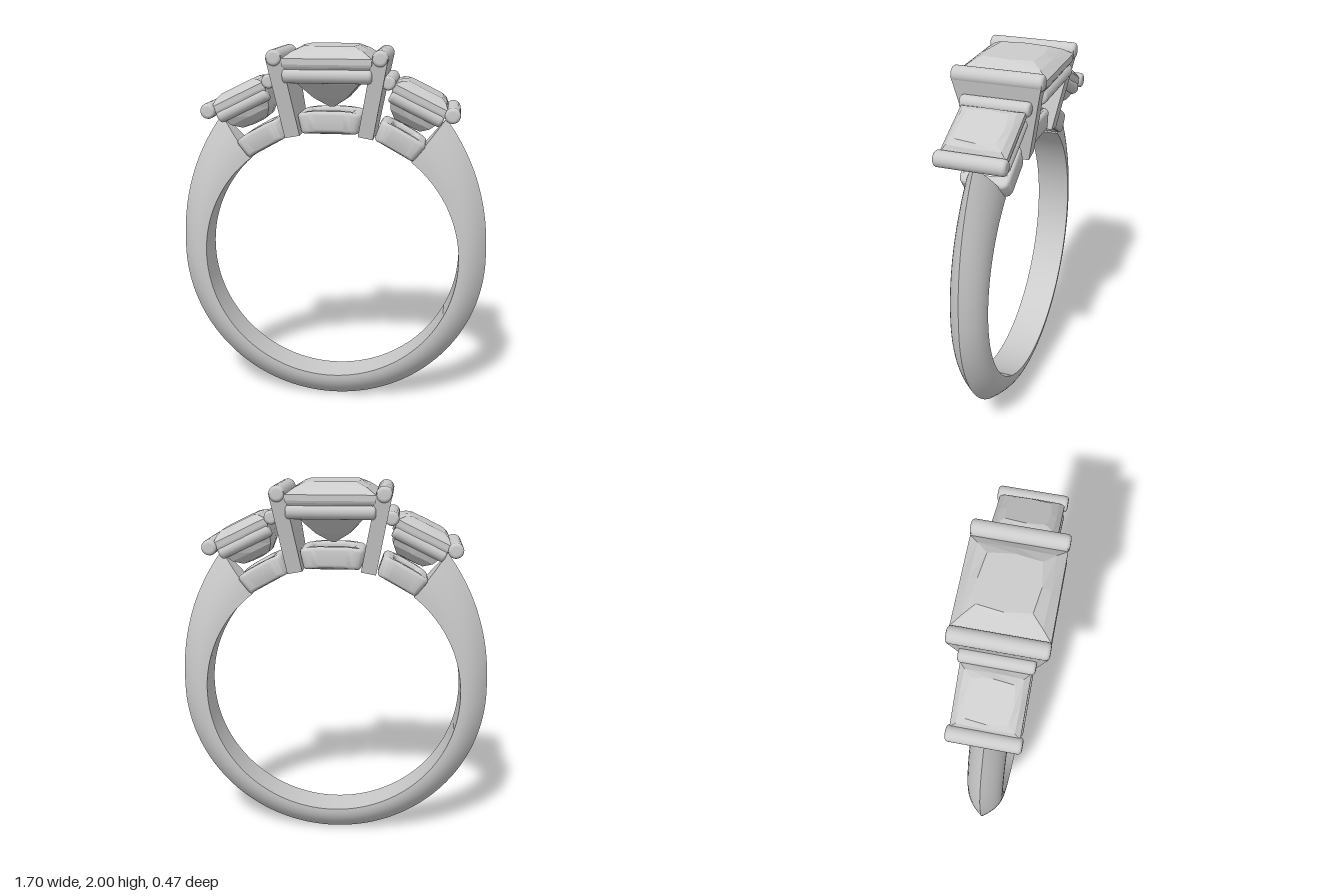
import * as THREE from 'three';
import { toCreasedNormals } from 'three/addons/utils/BufferGeometryUtils.js';

const CENTRE_Y = 0.85, INNER_R = 0.7;
const metal = new THREE.MeshStandardMaterial({ color: 0xcccccc });
const faceted = new THREE.MeshStandardMaterial({ color: 0xcccccc, flatShading: true });
const rad = THREE.MathUtils.degToRad;

function part(name, geometry, material = metal) {
  const mesh = new THREE.Mesh(geometry, material);
  mesh.name = name;
  return mesh;
}

// Skin over a row of closed cross-sections, capped at both ends
function loft(rings) {
  const pos = [];
  const tri = (...pts) => pts.forEach(p => pos.push(p.x, p.y, p.z));
  const n = rings[0].length;
  for (let i = 0; i < rings.length - 1; i++) {
    for (let j = 0; j < n; j++) {
      const k = (j + 1) % n, a = rings[i], b = rings[i + 1];
      tri(a[j], b[j], b[k]);
      tri(a[j], b[k], a[k]);
    }
  }
  const middle = ring => ring.reduce((s, p) => s.add(p), new THREE.Vector3()).divideScalar(n);
  const first = rings[0], last = rings[rings.length - 1];
  const c0 = middle(first), c1 = middle(last);
  for (let j = 0; j < n; j++) {
    const k = (j + 1) % n;
    tri(c0, first[j], first[k]);
    tri(c1, last[k], last[j]);
  }
  const g = new THREE.BufferGeometry();
  g.setAttribute('position', new THREE.Float32BufferAttribute(pos, 3));
  g.computeVertexNormals();
  return g;
}

// Shank: flat inside, pointed-arch outside, growing towards the shoulders
function shankGeometry() {
  const end = 51.8, steps = 120, arch = 9, rings = [];
  for (let i = 0; i <= steps; i++) {
    const deg = 180 - end + (180 + 2 * end) * i / steps;
    const a = rad(deg);
    const rise = Math.max(0, 90 - Math.abs(deg - 270) < 0 ? Math.abs(deg - 270) - 90 : 0);
    const outer = 0.848 + 0.134 * Math.pow(rise / end, 1.7);
    const ring = [];
    for (let j = -arch; j <= arch; j++) {
      const t = 1 - Math.abs(j) / arch;
      const r = INNER_R + (outer - INNER_R) * t;
      const z = Math.sign(j) * 0.095 * (1 - Math.pow(t, 2.2));
      ring.push(new THREE.Vector3(r * Math.cos(a), CENTRE_Y + r * Math.sin(a), z));
    }
    rings.push(ring);
  }
  return toCreasedNormals(loft(rings), 0.6);
}

// Square-cut stone from levels of [size, height, bow of the edges]
function gemGeometry(hx, hz, levels) {
  return loft(levels.map(([size, y, bow]) => {
    const ring = [];
    for (let k = 0; k < 8; k++) {
      const c = Math.cos(k * Math.PI / 4), s = Math.sin(k * Math.PI / 4);
      const m = size * (k % 2 ? 1 : bow) / Math.max(Math.abs(c), Math.abs(s));
      ring.push(new THREE.Vector3(hx * c * m, y, hz * s * m));
    }
    return ring;
  }));
}

// Round bar with softened ends, along x or z
function rodGeometry(r, half, axis) {
  const f = r * 0.45, pts = [new THREE.Vector2(0, -half)];
  for (const end of [-1, 1]) {
    for (let i = 0; i <= 4; i++) {
      const a = (end < 0 ? i : 4 - i) / 4 * Math.PI / 2;
      pts.push(new THREE.Vector2(r - f + f * Math.sin(a), end * (half - f + f * Math.cos(a))));
    }
  }
  pts.push(new THREE.Vector2(0, half));
  const g = new THREE.LatheGeometry(pts, 24);
  return axis === 'x' ? g.rotateZ(-Math.PI / 2) : g.rotateX(Math.PI / 2);
}

// Rounded square outline with points spread along the edges
function outline(hx, hy) {
  const pts = [], soft = v => Math.sign(v) * Math.pow(Math.abs(v), 0.3);
  for (let i = 0; i < 56; i++) {
    const a = (i + 0.5) / 56 * Math.PI * 2;
    pts.push(new THREE.Vector2(hx * soft(Math.cos(a)), hy * soft(Math.sin(a))));
  }
  return pts;
}

// Open gallery frame bent around the finger hole
function galleryGeometry(midDeg, halfDeg, halfZ) {
  const r0 = INNER_R + 0.005, depth = 0.113, bevel = 0.02, midR = 0.76;
  const hx = rad(halfDeg) * midR;
  const shape = new THREE.Shape(outline(hx, halfZ));
  shape.holes.push(new THREE.Path(outline(hx - 0.06, halfZ - 0.06)));
  const g = new THREE.ExtrudeGeometry(shape, {
    depth: depth - 2 * bevel, bevelSize: bevel, bevelThickness: bevel, bevelOffset: -bevel, bevelSegments: 4,
  });
  const p = g.attributes.position;
  for (let i = 0; i < p.count; i++) {
    const a = rad(midDeg) + p.getX(i) / midR, r = r0 + bevel + p.getZ(i);
    p.setXYZ(i, r * Math.cos(a), CENTRE_Y + r * Math.sin(a), p.getY(i));
  }
  return toCreasedNormals(g, 0.7);
}

// Leaning side wall of the centre setting, wider at the top, with a round lip
function sideWall() {
  const length = 0.427, wall = new THREE.Group();
  wall.name = 'centreSideWall';
  const g = new THREE.BoxGeometry(0.08, length, 2).translate(0, length / 2, 0);
  const p = g.attributes.position;
  for (let i = 0; i < p.count; i++) {
    p.setZ(i, p.getZ(i) * (0.145 + 0.085 * p.getY(i) / length));
  }
  g.computeVertexNormals();
  const lip = part('centreWallLip', rodGeometry(0.042, 0.235, 'z'));
  lip.position.y = length - 0.005;
  wall.add(part('centreWallPlate', g), lip);
  wall.position.set(0.193, 1.53, 0);
  wall.rotation.z = -0.186;
  return wall;
}

// Tilted setting with its smaller stone
function sideSetting() {
  const s = new THREE.Group();
  s.name = 'sideSetting';
  s.add(part('sideStone', gemGeometry(0.152, 0.165, [
    [0.2, -0.17, 1.1], [0.5, -0.16, 1.1], [0.75, -0.12, 1.08], [0.92, -0.06, 1.02],
    [1, -0.018, 1], [1, 0.01, 1], [0.83, 0.036, 1.03], [0.62, 0.05, 1.12],
  ]), faceted));
  for (const [x, r] of [[-0.183, 0.037], [0.183, 0.041]]) {
    const bar = part('sideEndBar', rodGeometry(r, 0.18, 'z'));
    bar.position.x = x;
    s.add(bar);
  }
  for (const z of [-1, 1]) {
    const rail = part('sideRail', rodGeometry(0.036, 0.15, 'x'));
    rail.position.set(0.003, -0.053, z * 0.135);
    s.add(rail);
  }
  s.position.set(0.475, 1.74, 0);
  s.rotation.z = rad(-26);
  return s;
}

export function createModel() {
  const ring = new THREE.Group();
  ring.name = 'ring';
  ring.add(part('shank', shankGeometry()));

  // Centre stone, its rails and gallery
  ring.add(part('centreStone', gemGeometry(0.23, 0.23, [
    [0.05, 1.675, 1.1], [0.38, 1.73, 1.1], [0.7, 1.81, 1.05], [0.98, 1.9, 1],
    [1, 1.912, 1], [1, 1.942, 1], [0.8, 1.975, 1.03], [0.56, 2, 1.13],
  ]), faceted));
  for (const z of [-1, 1]) {
    const rail = part('centreRail', rodGeometry(0.04, 0.23, 'x'));
    rail.position.set(0, 1.855, z * 0.192);
    ring.add(rail);
  }
  ring.add(part('centreGallery', galleryGeometry(90, 12.4, 0.135)));

  // The two matching sides
  for (const [name, turn] of [['leftSide', 0], ['rightSide', Math.PI]]) {
    const side = new THREE.Group();
    side.name = name;
    side.add(sideWall(), sideSetting(), part('sideGallery', galleryGeometry(61, 9.7, 0.13)));
    side.rotation.y = turn;
    ring.add(side);
  }
  return ring;
}
